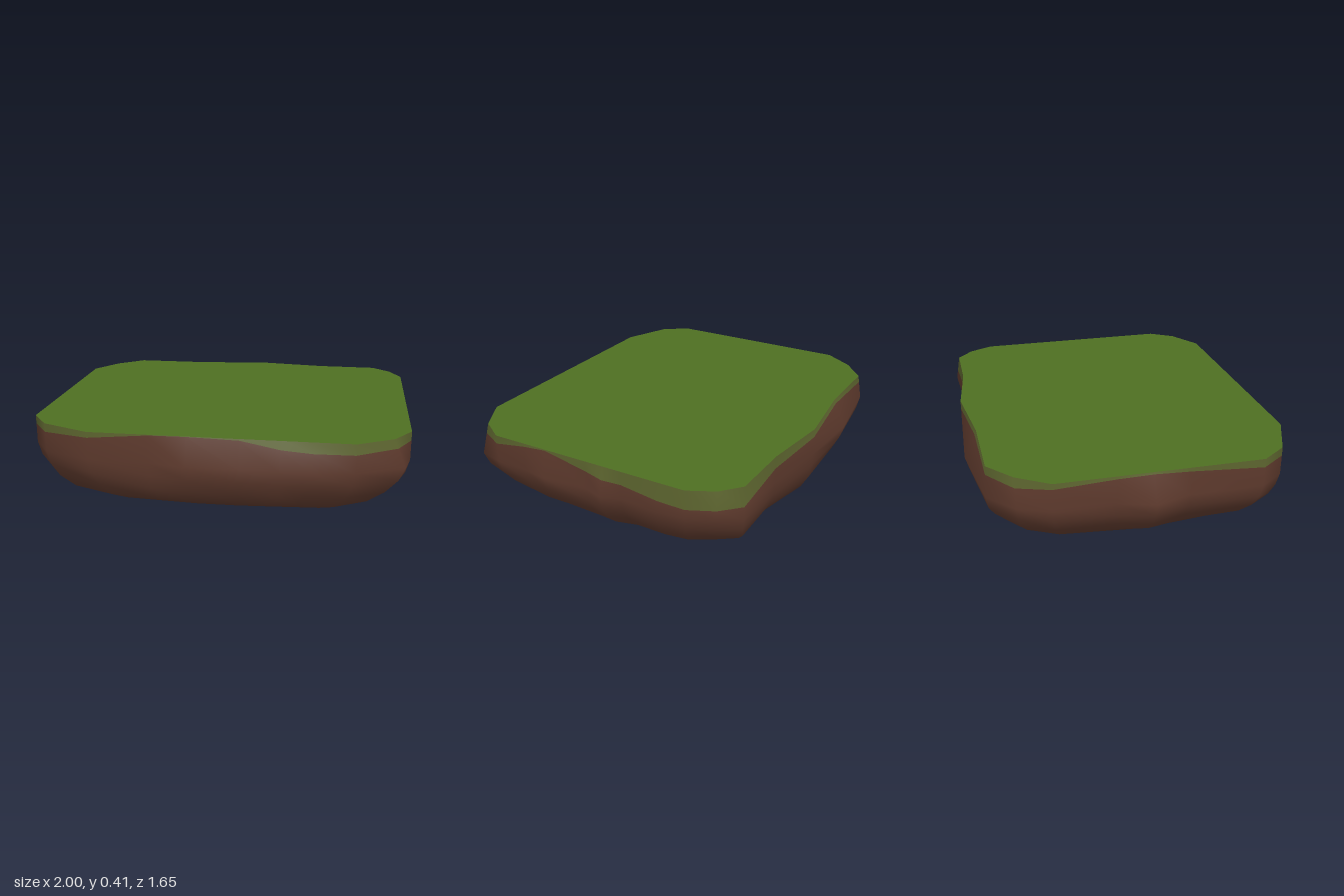
import * as THREE from 'three';

const TOP = 0.415;

// Rim of the block, walked from the front left corner: x, z, lower edge of the grass, bulge in x, bulge in z
const RIM = [
  [-0.945, 0.55, 0.37, 0, 0], [-0.85, 0.68, 0.37, 0, 0], [-0.6, 0.785, 0.385, 0, 0],
  [-0.3, 0.785, 0.411, 0, 0], [-0.11, 0.785, 0.413, 0, 0.037], [0.15, 0.785, 0.407, 0, 0.037],
  [0.35, 0.785, 0.372, 0, 0.038], [0.5, 0.785, 0.362, 0, 0.04], [0.7, 0.785, 0.36, 0, 0.005],
  [0.88, 0.68, 0.368, 0.055, 0], [0.965, 0.55, 0.37, 0, 0], [0.965, 0.37, 0.398, 0.005, 0],
  [0.965, 0.24, 0.41, 0.027, 0], [0.965, 0, 0.362, 0.003, 0], [0.965, -0.1, 0.35, 0.035, 0],
  [0.965, -0.2, 0.345, 0.002, 0], [0.965, -0.4, 0.325, 0.015, 0], [0.965, -0.54, 0.315, 0, 0],
  [0.9, -0.67, 0.315, 0.005, 0], [0.8, -0.755, 0.325, 0.04, -0.02], [0.47, -0.757, 0.35, 0, 0],
  [0.1, -0.803, 0.37, 0, 0], [-0.3, -0.757, 0.395, 0, -0.068], [-0.7, -0.755, 0.375, -0.04, -0.01],
  [-0.84, -0.64, 0.365, -0.04, 0], [-0.945, -0.48, 0.385, 0, 0], [-0.945, -0.18, 0.4, 0, 0],
  [-0.945, 0, 0.405, -0.055, 0], [-0.945, 0.18, 0.395, 0, 0],
];

// Cross-sections below the grass: height, x scale, z scale, share of bulge, corner rounding
const LEVELS = [
  [0.27, 1, 1, 1, 0],
  [0.2, 0.99, 0.995, 0.8, 0.01],
  [0.13, 0.955, 0.98, 0.45, 0.025],
  [0.06, 0.89, 0.93, 0.2, 0.04],
  [0, 0.805, 0.79, 0, 0.06],
];

function buildRings() {
  const rings = [
    RIM.map(([x, z]) => [x, TOP, z]),
    RIM.map(([x, z, g, bx, bz]) => {
      const t = (TOP - g) / (TOP - 0.27);
      return [x + bx * t, g, z + bz * t];
    }),
  ];
  LEVELS.forEach(([y, sx, sz, bulge, round], level) => {
    rings.push(RIM.map(([x, z, , bx, bz], i) => {
      const corner = 1 - round * Math.abs(x * z) / 0.55;
      // slight ridges in the lower soil
      const ridge = level === 2 || level === 3 ? 1 + 0.01 * Math.sin(i * 2.4) : 1;
      return [x * sx * corner * ridge + bx * bulge, y, z * sz * corner * ridge + bz * bulge];
    }));
  });
  return rings;
}

// One smooth skin: group 0 is the grass fringe, group 1 the soil and underside
function skinGeometry(rings) {
  const n = RIM.length;
  const index = [];
  for (let r = 0; r < rings.length - 1; r++) {
    for (let i = 0; i < n; i++) {
      const j = (i + 1) % n;
      const a = r * n + i, b = r * n + j, c = a + n, d = b + n;
      index.push(a, c, d, a, d, b);
    }
  }
  const last = (rings.length - 1) * n;
  const centre = rings.length * n;
  for (let i = 0; i < n; i++) index.push(centre, last + (i + 1) % n, last + i);

  const geo = new THREE.BufferGeometry();
  geo.setAttribute('position', new THREE.Float32BufferAttribute([...rings.flat(2), 0, 0, 0], 3));
  geo.setIndex(index);
  geo.addGroup(0, n * 6, 0);
  geo.addGroup(n * 6, index.length - n * 6, 1);
  geo.computeVertexNormals();
  return geo;
}

// Flat lawn as a fan around the centre
function lawnGeometry(ring) {
  const n = ring.length;
  const index = [];
  for (let i = 0; i < n; i++) index.push(n, i, (i + 1) % n);
  const geo = new THREE.BufferGeometry();
  geo.setAttribute('position', new THREE.Float32BufferAttribute([...ring.flat(), 0, TOP, 0], 3));
  geo.setIndex(index);
  geo.computeVertexNormals();
  return geo;
}

function material(name, color) {
  const m = new THREE.MeshStandardMaterial({ color });
  m.name = name;
  return m;
}

export function createModel() {
  const grass = material('grass green', 0x4e6f22);
  const fringe = material('olive fringe', 0x5d652f);
  const soil = material('soil brown', 0x5e3a2d);

  const group = new THREE.Group();
  group.name = 'groundBlock';
  const rings = buildRings();

  const lawn = new THREE.Mesh(lawnGeometry(rings[0]), grass);
  lawn.name = 'lawn';
  const earth = new THREE.Mesh(skinGeometry(rings), [fringe, soil]);
  earth.name = 'earthBody';
  group.add(lawn, earth);
  return group;
}
